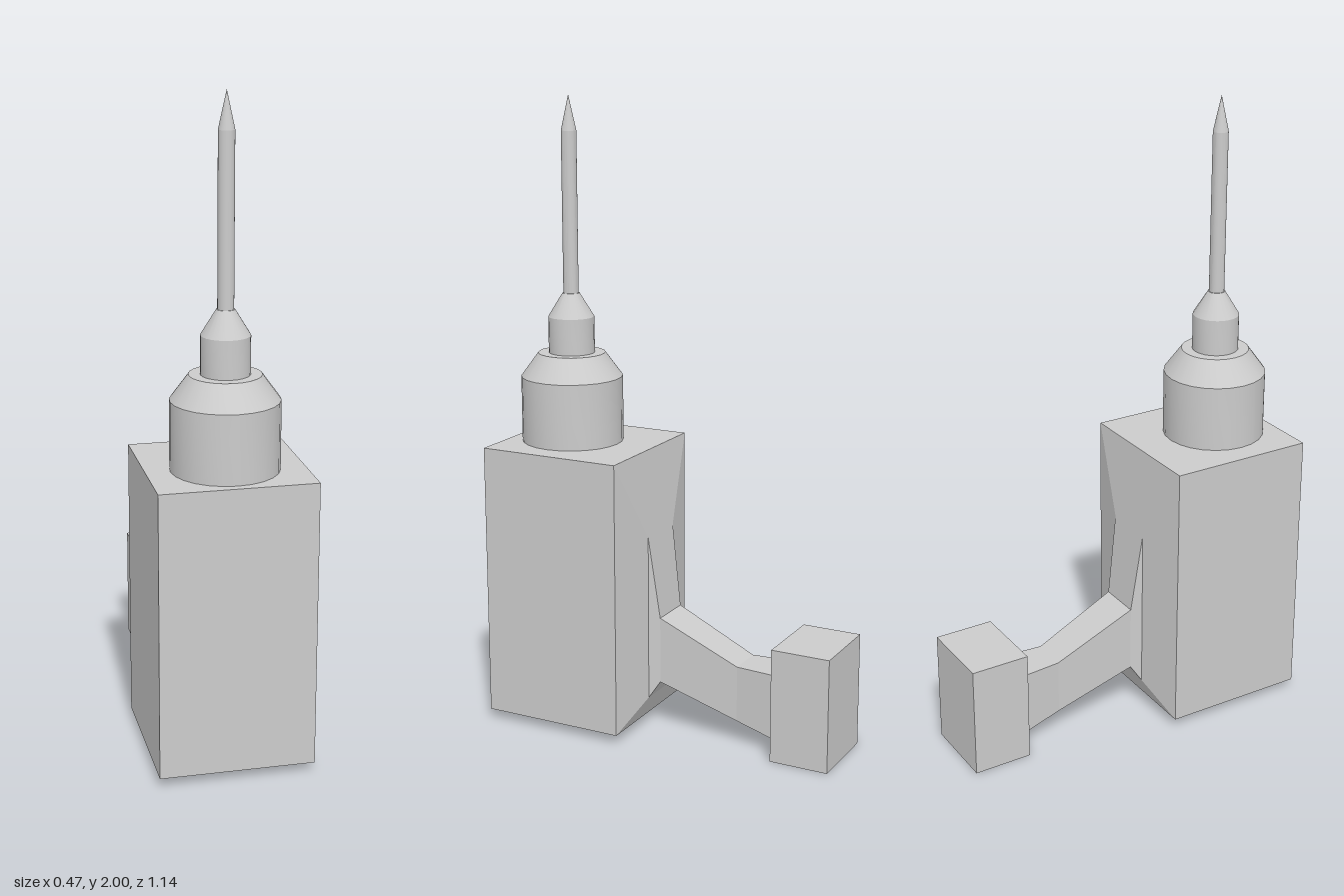
import * as THREE from 'three';
import { toCreasedNormals } from 'three/addons/utils/BufferGeometryUtils.js';

const material = new THREE.MeshStandardMaterial({ color: 0xcccccc });

function addMesh(group, name, geometry) {
  const mesh = new THREE.Mesh(geometry, material);
  mesh.name = name;
  group.add(mesh);
  return mesh;
}

// Skins rectangular sections [z, halfWidth, bottom, top], listed front to back
function loft(sections, capFront, capBack) {
  const positions = [];
  const rings = sections.map(([z, w, y0, y1]) => [[-w, y0, z], [w, y0, z], [w, y1, z], [-w, y1, z]]);
  const quad = (a, b, c, d) => positions.push(...a, ...b, ...c, ...a, ...c, ...d);
  for (let s = 0; s < rings.length - 1; s++) {
    const f = rings[s], b = rings[s + 1];
    for (let i = 0; i < 4; i++) {
      const j = (i + 1) % 4;
      quad(f[i], b[i], b[j], f[j]);
    }
  }
  const first = rings[0], last = rings[rings.length - 1];
  if (capFront) quad(...first);
  if (capBack) quad(last[3], last[2], last[1], last[0]);
  const geometry = new THREE.BufferGeometry();
  geometry.setAttribute('position', new THREE.Float32BufferAttribute(positions, 3));
  geometry.computeVertexNormals();
  return geometry;
}

// Turned part with sharp steps between its bands
function turned(profile) {
  const points = profile.map(([r, y]) => new THREE.Vector2(r, y));
  return toCreasedNormals(new THREE.LatheGeometry(points, 24), 0.3);
}

export function createModel() {
  const model = new THREE.Group();
  model.name = 'needleTool';

  // Box body and the tapered arm mount on its back
  const bodyBack = [0.10, 0.235, 0.03, 0.91];
  const armStart = [0.03, 0.07, 0.165, 0.38];
  addMesh(model, 'body', loft([[0.57, 0.235, 0.03, 0.91], bodyBack], true, false));
  addMesh(model, 'armMount', loft([bodyBack, [0.065, 0.083, 0.11, 0.645], armStart], false, false));

  // Sloping arm, slightly waisted
  const armEnd = [-0.36, 0.07, 0.05, 0.26];
  addMesh(model, 'arm', loft([armStart, [-0.235, 0.059, 0.08, 0.26], armEnd], false, false));

  // End block with a flared front
  addMesh(model, 'endBlock', loft([armEnd, [-0.38, 0.125, 0, 0.365], [-0.57, 0.125, 0, 0.365]], false, true));

  // Stepped nozzle and needle share one upright axis
  const nozzle = new THREE.Group();
  nozzle.name = 'nozzle';
  nozzle.position.z = 0.383;
  addMesh(nozzle, 'collar', turned([[0.162, 0.91], [0.162, 1.12], [0.107, 1.195], [0, 1.195]]));
  addMesh(nozzle, 'needleHolder', turned([[0.073, 1.195], [0.073, 1.31], [0.027, 1.385], [0, 1.385]]));
  addMesh(nozzle, 'needle', turned([[0.024, 1.385], [0.024, 1.89]]));
  addMesh(nozzle, 'needleTip', turned([[0.024, 1.89], [0, 2]]));
  model.add(nozzle);

  return model;
}
